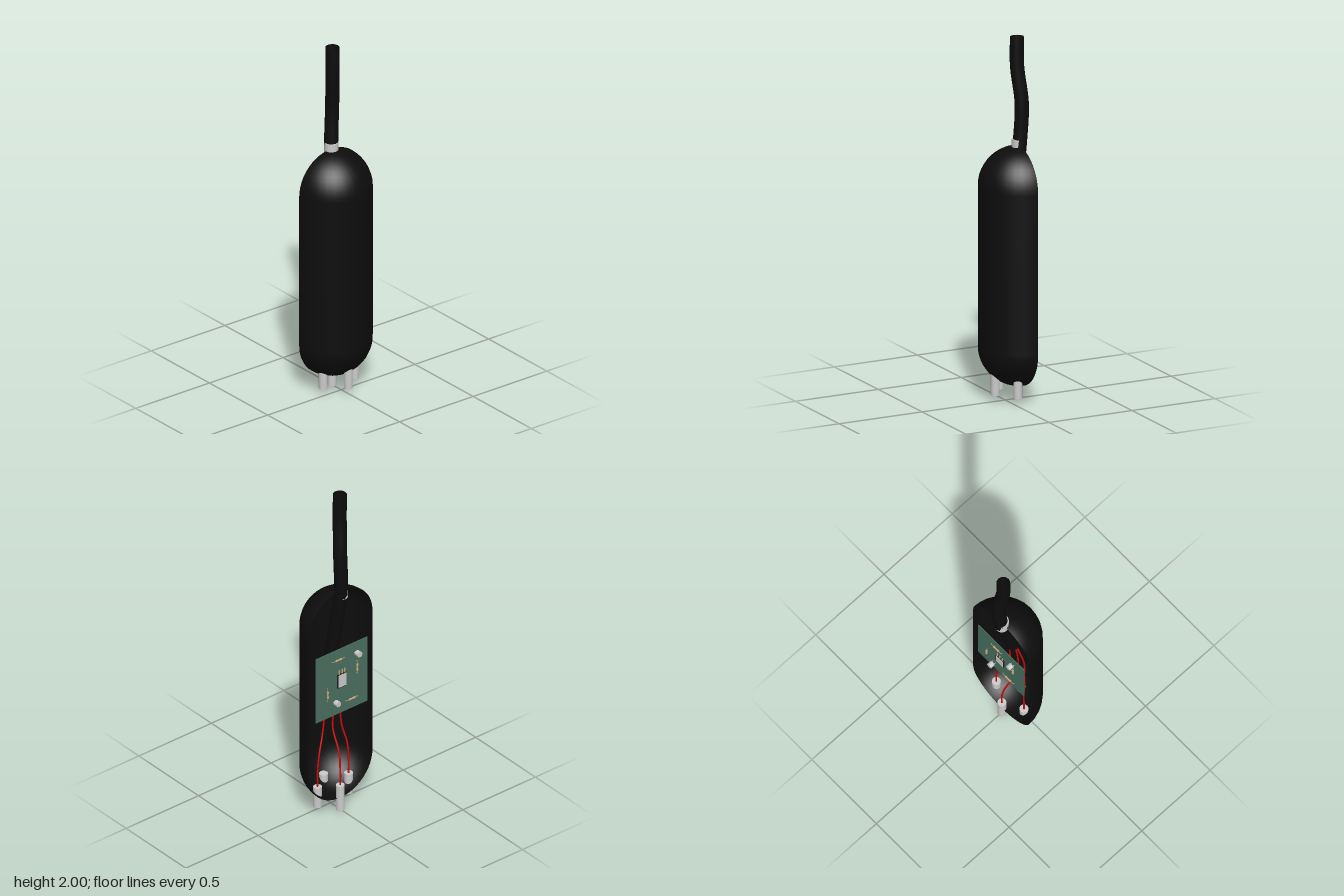
import * as THREE from 'three';

const mat = (color, side = THREE.FrontSide) => new THREE.MeshStandardMaterial({ color, side });
const BLACK = mat(0x0d0d0d, THREE.DoubleSide);
const GREY = mat(0xcccccc);
const GREEN = mat(0x4a7060);
const RED = mat(0xd00808);
const TAN = mat(0xc8a878);
const DARK = mat(0x222222);

const SHELL_Z = -0.083;   // plane of the open back
const BOARD_Z = -0.09;    // rear face of the board

function add(parent, name, geometry, material, x = 0, y = 0, z = 0) {
  const mesh = new THREE.Mesh(geometry, material);
  mesh.name = name;
  mesh.position.set(x, y, z);
  parent.add(mesh);
  return mesh;
}

function tube(points, radius, segments, sides) {
  const curve = new THREE.CatmullRomCurve3(points.map(p => new THREE.Vector3(...p)));
  return new THREE.TubeGeometry(curve, segments, radius, sides);
}

// Half capsule, hollow and open at the back
function shellGeometry() {
  const r = 0.22, low = 0.295, high = 1.175, steps = 12, profile = [];
  for (const [centre, start] of [[low, -Math.PI / 2], [high, 0]]) {
    for (let i = 0; i <= steps; i++) {
      const a = start + (i / steps) * Math.PI / 2;
      profile.push(new THREE.Vector2(Math.max(0, r * Math.cos(a)), centre + r * Math.sin(a)));
    }
  }
  return new THREE.LatheGeometry(profile, 16, -Math.PI / 2, Math.PI);
}

// Round capacitor standing off the board on two leads
function capacitor(parent, x, y) {
  const g = new THREE.Group();
  g.name = 'capacitor';
  g.position.set(x, y, BOARD_Z);
  add(g, 'capacitorCan', new THREE.CylinderGeometry(0.0165, 0.0165, 0.026, 16).rotateX(Math.PI / 2), GREY, 0, 0, -0.025);
  for (const s of [-1, 1])
    add(g, 'capacitorLead', new THREE.CylinderGeometry(0.002, 0.002, 0.014, 6).rotateX(Math.PI / 2), GREY, s * 0.009, 0, -0.006);
  parent.add(g);
}

// Axial resistor with bent leads
function resistor(parent, x, y, vertical) {
  const g = new THREE.Group();
  g.name = 'resistor';
  g.position.set(x, y, BOARD_Z);
  g.rotation.z = vertical ? Math.PI / 2 : 0;
  const along = (r, len) => new THREE.CylinderGeometry(r, r, len, 8).rotateZ(Math.PI / 2);
  add(g, 'resistorBody', along(0.0045, 0.036), TAN, 0, 0, -0.008);
  for (const s of [-1, 1]) {
    add(g, 'resistorEnd', along(0.006, 0.01), TAN, s * 0.015, 0, -0.008);
    add(g, 'resistorLead', along(0.0015, 0.02), TAN, s * 0.03, 0, -0.008);
    add(g, 'resistorFoot', new THREE.CylinderGeometry(0.0015, 0.0015, 0.01, 6).rotateX(Math.PI / 2), TAN, s * 0.04, 0, -0.004);
  }
  parent.add(g);
}

export function createModel() {
  const model = new THREE.Group();
  model.name = 'sensorCapsule';

  add(model, 'shell', shellGeometry(), BLACK, 0, 0, SHELL_Z);

  // Hollow cable running through the collar and down behind the board
  add(model, 'cable', tube([
    [-0.003, 2, -0.073], [-0.002, 1.84, -0.073], [0.012, 1.63, -0.094], [0.003, 1.45, -0.09],
    [0, 1.33, -0.079], [0, 1.15, -0.042], [0, 0.92, 0]
  ], 0.038, 40, 12), BLACK);
  add(model, 'cableCollar', new THREE.CylinderGeometry(0.038, 0.038, 0.08, 16), GREY, -0.002, 1.395, SHELL_Z);

  // Four contact pins; the rear one sits lower
  for (const [x, z, bottom] of [[0, 0.06, 0.035], [0.107, -0.02, 0.035], [-0.107, -0.02, 0.035], [0, -0.08, 0]])
    add(model, 'pin', new THREE.CylinderGeometry(0.024, 0.024, 0.155 - bottom * 0.9, 16), GREY,
      x, bottom + (0.155 - bottom * 0.9) / 2, z);

  // Wires from the cable end to three pins
  for (const [x, endX, endZ] of [[0.035, 0.107, -0.02], [-0.027, 0, -0.08], [-0.076, -0.107, -0.02]])
    add(model, 'wire', tube([
      [x * 0.4, 0.93, 0], [x, 0.75, 0.01], [x, 0.56, 0.012], [x * 0.8 + endX * 0.2, 0.46, 0.008],
      [x * 0.2 + endX * 0.8, 0.35, endZ * 0.8], [endX, 0.25, endZ], [endX, 0.14, endZ]
    ], 0.005, 40, 6), RED);

  // Circuit board and its parts
  const board = new THREE.Group();
  board.name = 'circuitBoard';
  model.add(board);
  add(board, 'boardPlate', new THREE.BoxGeometry(0.354, 0.406, 0.005), GREEN, -0.003, 0.825, BOARD_Z + 0.0025);
  capacitor(board, -0.097, 0.967);
  capacitor(board, 0.049, 0.71);
  resistor(board, 0.026, 0.968, false);
  resistor(board, -0.066, 0.686, false);
  resistor(board, -0.103, 0.87, true);
  resistor(board, 0.1, 0.775, true);

  // Transistor with three legs
  add(board, 'transistorBody', new THREE.BoxGeometry(0.06, 0.085, 0.008), DARK, 0, 0.83, BOARD_Z - 0.004);
  add(board, 'transistorPlate', new THREE.BoxGeometry(0.052, 0.077, 0.003), GREY, 0, 0.83, BOARD_Z - 0.0085);
  for (const x of [-0.02, 0, 0.02])
    add(board, 'transistorLeg', new THREE.BoxGeometry(0.007, 0.028, 0.004), TAN, x, 0.885, BOARD_Z - 0.005);

  return model;
}
